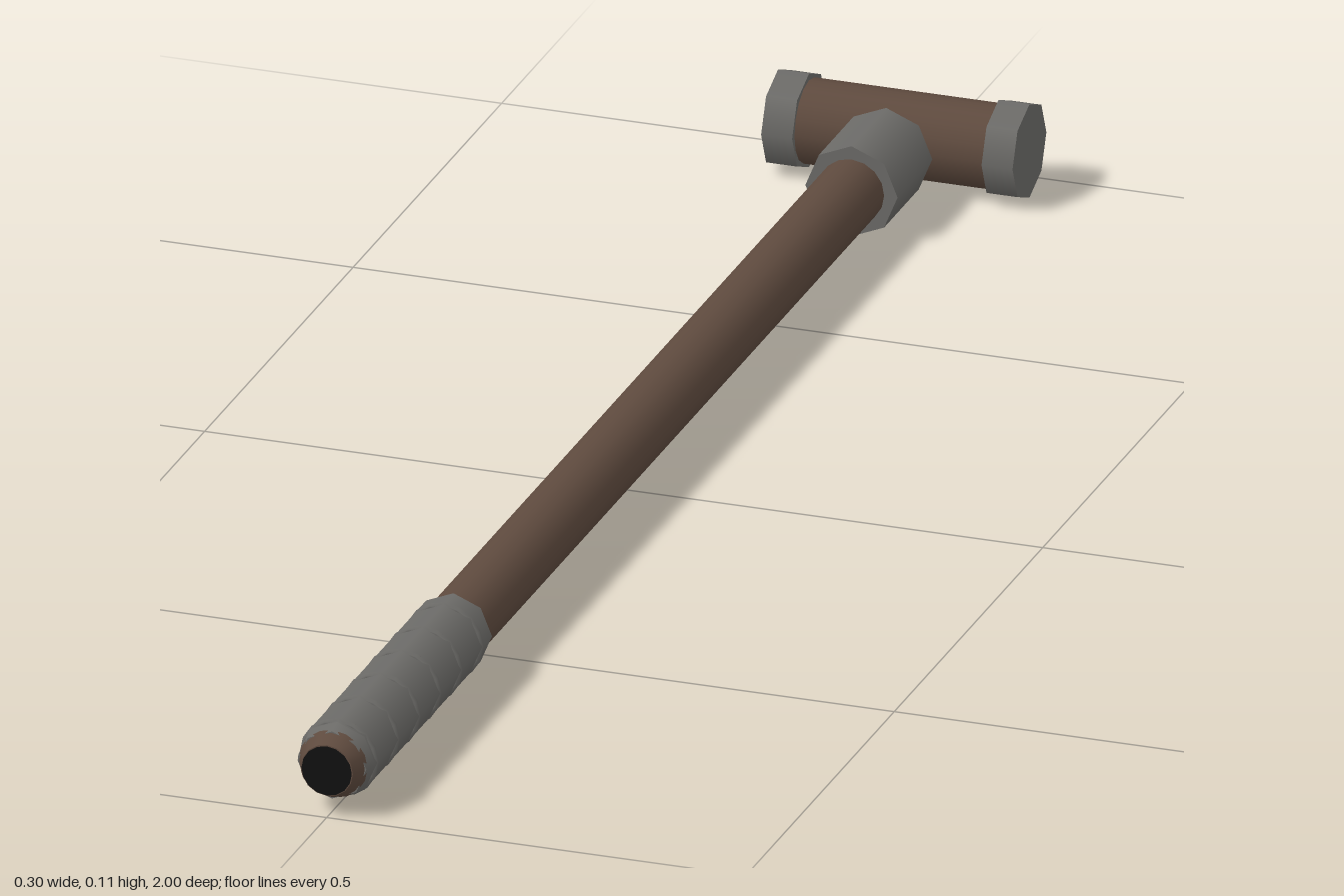
import * as THREE from 'three';

export function createModel() {
  const model = new THREE.Group();
  model.name = 'hammer';
  const axisY = 0.058;
  const headZ = -0.943;

  const brown = new THREE.MeshStandardMaterial({ color: 0x5e4a3e });
  brown.name = 'brown wood';
  const gray = new THREE.MeshStandardMaterial({ color: 0x6c6b68 });
  gray.name = 'gray metal';
  const black = new THREE.MeshStandardMaterial({ color: 0x111111 });
  black.name = 'black';

  function add(name, geometry, material, x = 0, z = 0) {
    const mesh = new THREE.Mesh(geometry, material);
    mesh.name = name;
    mesh.position.set(x, axisY, z);
    model.add(mesh);
    return mesh;
  }

  // Cylinder along z between two depths
  function alongZ(name, rBack, rFront, z0, z1, sides, material) {
    const g = new THREE.CylinderGeometry(rFront, rBack, z1 - z0, sides);
    g.rotateX(Math.PI / 2);
    return add(name, g, material, 0, (z0 + z1) / 2);
  }

  // Cylinder along x centred on the head
  function alongX(name, r, x0, x1, sides, material) {
    const g = new THREE.CylinderGeometry(r, r, x1 - x0, sides);
    g.rotateZ(Math.PI / 2);
    return add(name, g, material, (x0 + x1) / 2, headZ);
  }

  // Head with an octagonal cap on each end
  alongX('head', 0.049, -0.115, 0.115, 16, brown);
  alongX('leftHeadCap', 0.057, 0.113, 0.15, 8, gray);
  alongX('rightHeadCap', 0.057, -0.15, -0.113, 8, gray);

  // Socket and shaft
  alongZ('socket', 0.055, 0.055, -0.884, -0.767, 8, gray);
  alongZ('shaft', 0.039, 0.039, -0.78, 0.98, 16, brown);

  // Grip with raised rings
  alongZ('grip', 0.046, 0.046, 0.573, 0.965, 8, gray);
  alongZ('gripEnd', 0.046, 0.041, 0.965, 0.982, 8, gray);
  for (let i = 0; i < 6; i++) {
    add('gripRing', new THREE.TorusGeometry(0.0425, 0.0045, 6, 16), gray, 0, 0.604 + i * 0.0707);
  }

  // Tapered butt with a dark end
  alongZ('butt', 0.041, 0.031, 0.978, 0.999, 16, brown);
  add('buttFace', new THREE.CircleGeometry(0.03, 16), black, 0, 1.0);

  return model;
}
